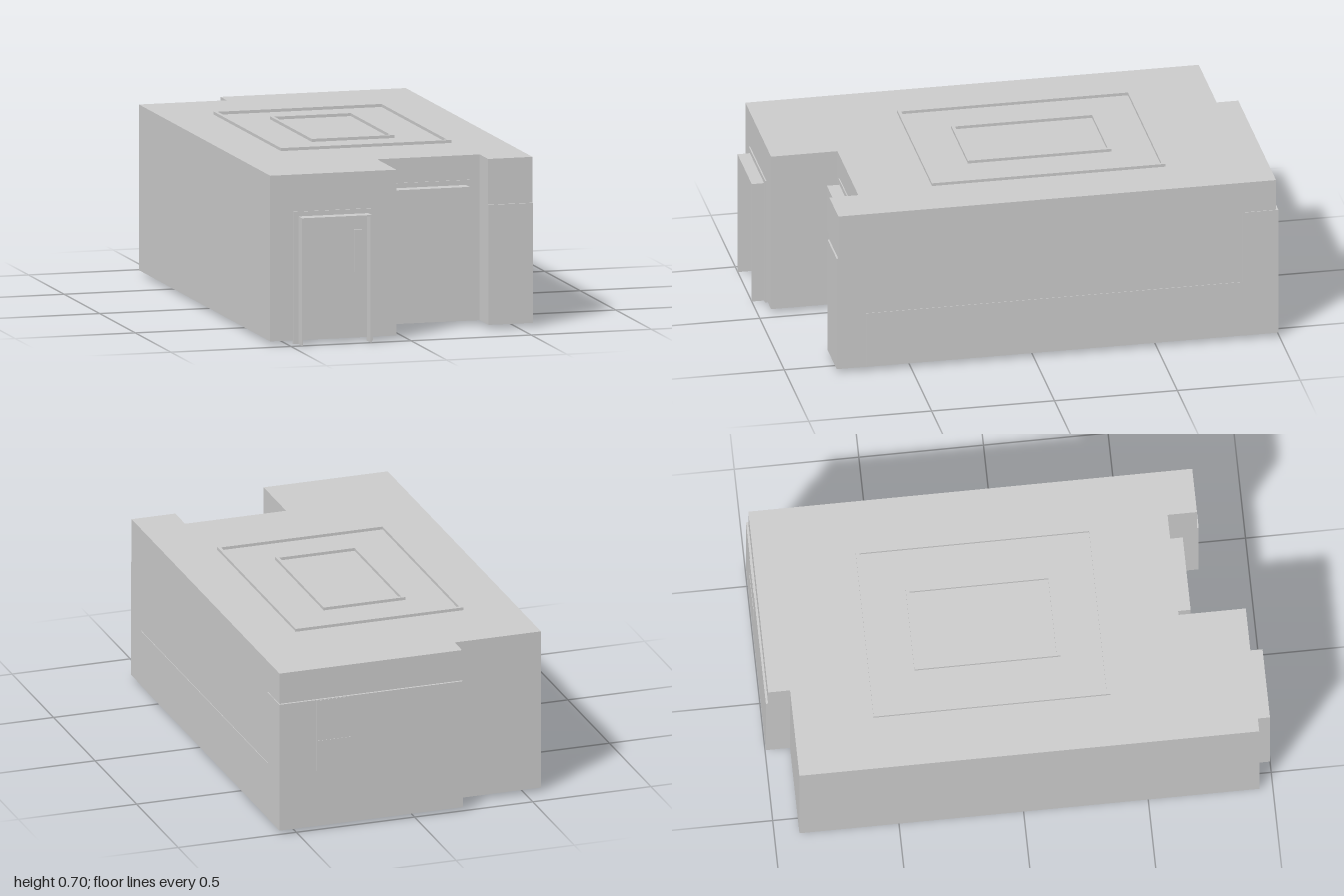
import * as THREE from 'three';

const material = new THREE.MeshStandardMaterial({ color: 0xcccccc, flatShading: true, side: THREE.DoubleSide });

export function createModel() {
  const model = new THREE.Group();
  model.name = 'cabin';

  const add = (name, geometry, parent = model) => {
    const mesh = new THREE.Mesh(geometry, material);
    mesh.name = name;
    parent.add(mesh);
    return mesh;
  };
  // Box given by its extents on each axis
  const box = (name, [x0, x1], [y0, y1], [z0, z1], parent) => {
    const mesh = add(name, new THREE.BoxGeometry(x1 - x0, y1 - y0, z1 - z0), parent);
    mesh.position.set((x0 + x1) / 2, (y0 + y1) / 2, (z0 + z1) / 2);
    return mesh;
  };
  const group = (name) => {
    const g = new THREE.Group();
    g.name = name;
    model.add(g);
    return g;
  };

  // Body: stepped floor plan [x, z] raised to the roof
  const plan = [
    [-0.57, 0.945], [-0.045, 0.945], [-0.045, 0.675], [0.382, 0.675], [0.382, 0.793],
    [0.567, 0.793], [0.567, -0.988], [-0.205, -0.988], [-0.205, -0.9], [-0.57, -0.9],
  ];
  const body = new THREE.ExtrudeGeometry(
    new THREE.Shape(plan.map(([x, z]) => new THREE.Vector2(x, -z))),
    { depth: 0.67, bevelEnabled: false },
  );
  body.rotateX(-Math.PI / 2).translate(0, 0.015, 0);
  add('body', body);

  // Lower cladding on the front corner, and along the side wall
  box('cornerCladding', [0.382, 0.567], [0.015, 0.5], [0.79, 0.8]);
  box('sideCladding', [0.56, 0.569], [0.015, 0.25], [-0.86, 0.68]);

  // Rear panel with its wrapped side and a raised hatch
  const rear = group('rearPanel');
  box('rearSheet', [-0.205, 0.57], [0.015, 0.555], [-0.997, -0.985], rear);
  box('rearSideSheet', [0.56, 0.57], [0.015, 0.555], [-0.99, -0.85], rear);
  box('hatchUpper', [0.265, 0.415], [0.38, 0.552], [-0.9985, -0.99], rear);
  box('hatchLower', [0.265, 0.415], [0.25, 0.38], [-1, -0.99], rear);

  // Roof: two concentric raised rims
  const roof = group('roofRims');
  for (const [w, d] of [[0.71, 0.95], [0.345, 0.585]]) {
    const t = 0.014;
    const rect = (C, a, b) => new C([[-a, -b], [a, -b], [a, b], [-a, b]].map(([x, y]) => new THREE.Vector2(x, y)));
    const shape = rect(THREE.Shape, w / 2, d / 2);
    shape.holes.push(rect(THREE.Path, w / 2 - t, d / 2 - t));
    const rim = new THREE.ExtrudeGeometry(shape, { depth: 0.017, bevelEnabled: false });
    rim.rotateX(-Math.PI / 2).translate(0, 0.68, -0.105);
    add('roofRim', rim, roof);
  }

  // Door: flat casing on the wall, a projecting open surround and a handle
  const door = group('door');
  box('casingTop', [-0.475, -0.143], [0.515, 0.535], [0.94, 0.95], door);
  box('casingRight', [-0.475, -0.45], [0, 0.535], [0.94, 0.95], door);
  box('casingLeft', [-0.167, -0.143], [0, 0.535], [0.94, 0.95], door);
  box('doorLeaf', [-0.45, -0.167], [0.015, 0.51], [0.94, 0.947], door);
  box('surroundTop', [-0.454, -0.163], [0.511, 0.516], [0.94, 1], door);
  for (const x of [-0.454, -0.168]) box('surroundSide', [x, x + 0.005], [0, 0.516], [0.94, 1], door);
  box('doorHandle', [-0.222, -0.19], [0.28, 0.453], [0.94, 0.957], door);
  box('handleGrip', [-0.215, -0.197], [0.288, 0.445], [0.95, 0.962], door);

  // Window: flat casing with a projecting panel
  const windowUnit = group('window');
  box('windowCasing', [0, 0.338], [0.36, 0.585], [0.67, 0.679], windowUnit);
  box('windowPanel', [0.015, 0.324], [0.374, 0.565], [0.67, 0.73], windowUnit);

  return model;
}
